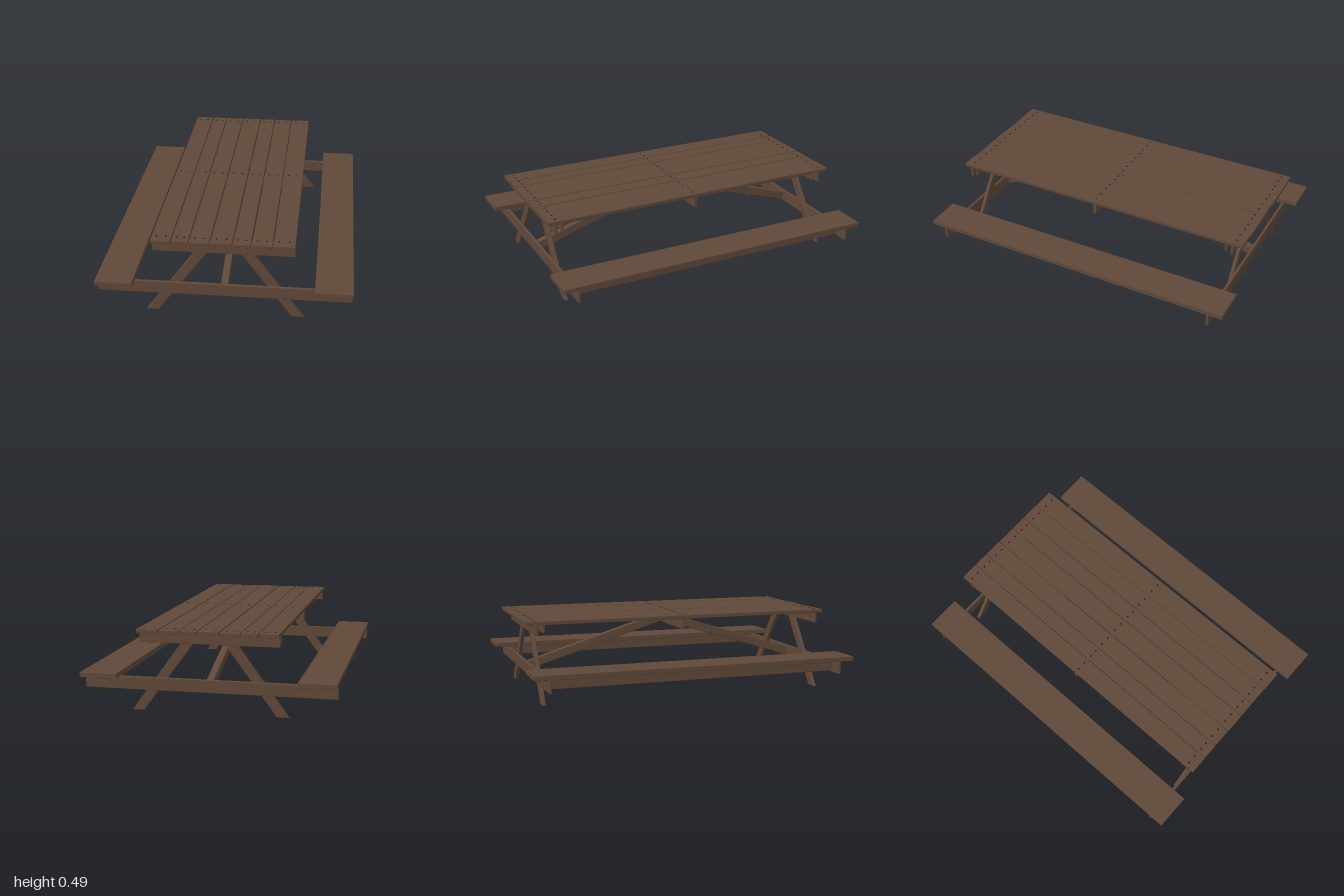
import * as THREE from 'three';
import { RoundedBoxGeometry } from 'three/addons/geometries/RoundedBoxGeometry.js';

export function createModel() {
  const model = new THREE.Group();
  model.name = 'picnicTable';

  const wood = new THREE.MeshStandardMaterial({ color: 0x5f4838 });
  wood.name = 'brown wood';
  const iron = new THREE.MeshStandardMaterial({ color: 0x221b17 });
  iron.name = 'dark nail';

  function add(geometry, name, material = wood) {
    const mesh = new THREE.Mesh(geometry, material);
    mesh.name = name;
    model.add(mesh);
    return mesh;
  }

  // Board given by its limits on each axis, with softened edges
  function board(name, x0, x1, y0, y1, z0, z1, radius = 0.003) {
    const g = new RoundedBoxGeometry(x1 - x0, y1 - y0, z1 - z0, 2, radius);
    g.translate((x0 + x1) / 2, (y0 + y1) / 2, (z0 + z1) / 2);
    return add(g, name);
  }

  // Slanted board cut from an outline, centred on its thickness
  function cutBoard(points, thickness) {
    const shape = new THREE.Shape(points.map(([x, y]) => new THREE.Vector2(x, y)));
    const b = 0.004;
    const g = new THREE.ExtrudeGeometry(shape, {
      depth: thickness - 2 * b, bevelEnabled: true, bevelThickness: b,
      bevelSize: b, bevelOffset: -b, bevelSegments: 2,
    });
    return g.translate(0, 0, b - thickness / 2);
  }

  // Table top: seven planks of uneven width
  const planks = [
    [-0.413, -0.299], [-0.294, -0.199], [-0.194, -0.079], [-0.073, 0.049],
    [0.055, 0.154], [0.160, 0.275], [0.280, 0.404],
  ];
  const nail = new THREE.CylinderGeometry(0.006, 0.006, 0.004, 8);
  planks.forEach(([x0, x1], i) => {
    const drop = (i % 3) * 0.001;
    board('tablePlank', x0, x1, 0.468, 0.491 - drop, -0.972 - drop, 0.954 - drop);
    // Two nails where each plank crosses a cleat
    for (const z of [-0.92, 0.005, 0.9]) {
      for (const t of [0.25, 0.72]) {
        add(nail, 'nail', iron).position.set(x0 + (x1 - x0) * t, 0.4905 - drop, z);
      }
    }
  });

  // Cleat under the middle of the top
  board('middleCleat', -0.41, 0.404, 0.405, 0.469, -0.012, 0.012);

  for (const s of [-1, 1]) {
    // Bench seat and the beam beneath it
    const x = s * 0.63;
    board('benchSeat', x - 0.109, x + 0.109, 0.203, 0.232, -1, 1);
    board('benchBeam', x - 0.02, x + 0.02, 0.132, 0.205, -0.9, 0.9, 0.006);

    // End frame: cleats clamping the legs and a long rail carrying both benches
    const zOut = s * 0.907, zIn = s * 0.868;
    board('outerCleat', -0.41, 0.404, 0.405, 0.469, zOut - 0.008, zOut + 0.008);
    board('innerCleat', -0.41, 0.404, 0.42, 0.469, zIn - 0.006, zIn + 0.006);
    board('benchRail', -0.738, 0.735, 0.125, 0.202, zOut - 0.009, zOut + 0.009, 0.005);

    // Splayed legs, cut level at the floor and the top
    for (const m of [-1, 1]) {
      const outline = [[0.46, 0], [0.39, 0], [0.047, 0.466], [0.12, 0.466]];
      const points = outline.map(([px, py]) => [m * px, py]);
      add(cutBoard(points, 0.022), 'leg').position.z = s * 0.886;
    }

    // Diagonal brace from the middle cleat down to the end rail
    const brace = cutBoard([[0, 0.41], [0, 0.465], [0.898, 0.19], [0.898, 0.135]], 0.042);
    add(brace, 'diagonalBrace').rotation.y = -s * Math.PI / 2;
  }

  return model;
}
